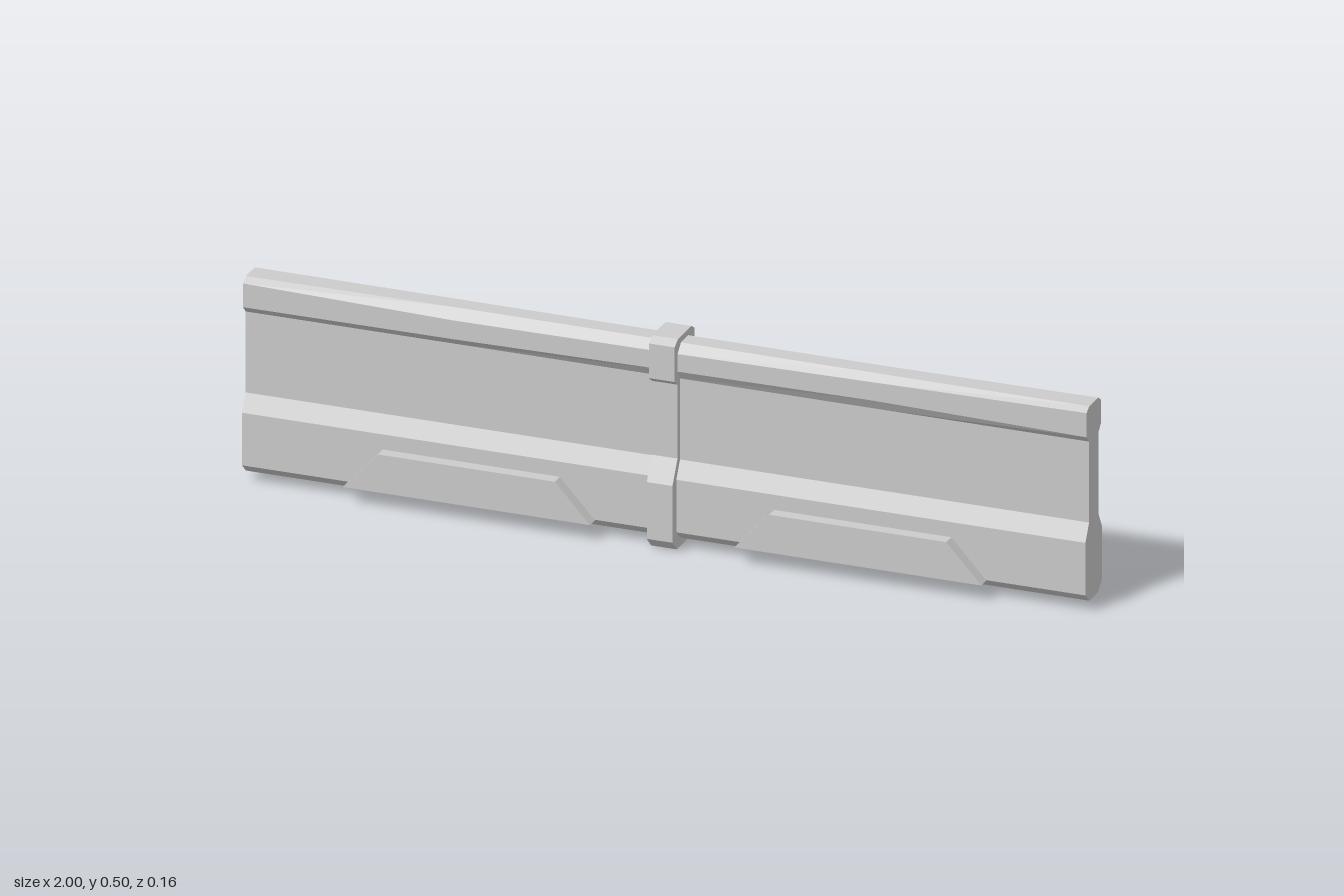
import * as THREE from 'three';

const material = new THREE.MeshStandardMaterial({ color: 0xcccccc, flatShading: true });

// Closed solid from equal-sized [z, y] cross-sections placed along x
function loft(stations) {
  const pos = [], index = [], n = stations[0].ring.length;
  for (const { x, ring } of stations) for (const [z, y] of ring) pos.push(x, y, z);
  for (let s = 0; s < stations.length - 1; s++) {
    for (let i = 0; i < n; i++) {
      const a = s * n + i, b = s * n + (i + 1) % n;
      index.push(a, b, a + n, b, b + n, a + n);
    }
  }
  // End caps
  const addCap = (ring, base, flip) => {
    const faces = THREE.ShapeUtils.triangulateShape(ring.map(p => new THREE.Vector2(...p)), []);
    for (const [a, b, c] of faces) {
      if (flip) index.push(base + a, base + b, base + c);
      else index.push(base + a, base + c, base + b);
    }
  };
  addCap(stations[0].ring, 0, true);
  addCap(stations.at(-1).ring, (stations.length - 1) * n, false);
  const geo = new THREE.BufferGeometry();
  geo.setAttribute('position', new THREE.Float32BufferAttribute(pos, 3));
  geo.setIndex(index);
  const flat = geo.toNonIndexed();
  flat.computeVertexNormals();
  return flat;
}

// Full outline, clockwise in (z, y), from front and back half profiles
const outline = (front, back) =>
  [...front, ...back.map(([z, y]) => [-z, y]).reverse()].reverse();

export function createModel() {
  const model = new THREE.Group();
  const add = (name, geo, parent = model) => {
    const mesh = new THREE.Mesh(geo, material);
    mesh.name = name;
    parent.add(mesh);
    return mesh;
  };

  // Beam: waisted section whose head bevels wander slightly along the length
  const bevels = [ // x, top edge z, shoulder y, lower head y
    [-1, 0.026, 0.477, 0.42], [-0.5, 0.02, 0.466, 0.421], [0, 0.022, 0.468, 0.426],
    [0.5, 0.025, 0.473, 0.429], [1, 0.027, 0.478, 0.42],
  ];
  const half = ([, topZ, shoulder, lower]) => [
    [0.026, 0.022], [0.05, 0.044], [0.05, 0.17], [0.028, 0.21],
    [0.028, 0.404], [0.043, lower], [0.043, shoulder], [topZ, 0.488],
  ];
  add('beam', loft(bevels.map((b, i) => ({
    x: b[0], ring: outline(half(b), half(bevels[bevels.length - 1 - i])),
  }))));

  // Central clamp band following the beam section, slightly deeper at the front foot
  const bandHalf = foot => [
    [0.047, 0.002], [foot, 0.028], [foot, 0.164], [0.043, 0.218],
    [0.043, 0.395], [0.06, 0.408], [0.06, 0.491], [0.04, 0.503],
  ];
  const ring = outline(bandHalf(0.073), bandHalf(0.063));
  add('centreBand', loft([{ x: -0.031, ring }, { x: 0.03, ring }]));

  // Trapezoid side plates, two on each face
  const shape = new THREE.Shape([[-0.293, 0.043], [0.293, 0.043], [0.21, 0.134], [-0.21, 0.134]]
    .map(p => new THREE.Vector2(...p)));
  const plates = new THREE.Group();
  plates.name = 'sidePlates';
  model.add(plates);
  for (const x of [-0.456, 0.472]) {
    for (const [name, z] of [['frontPlate', 0.045], ['backPlate', -0.08]]) {
      const geo = new THREE.ExtrudeGeometry(shape, { depth: 0.035, bevelEnabled: false });
      add(name, geo, plates).position.set(x, 0, z);
    }
  }
  return model;
}
